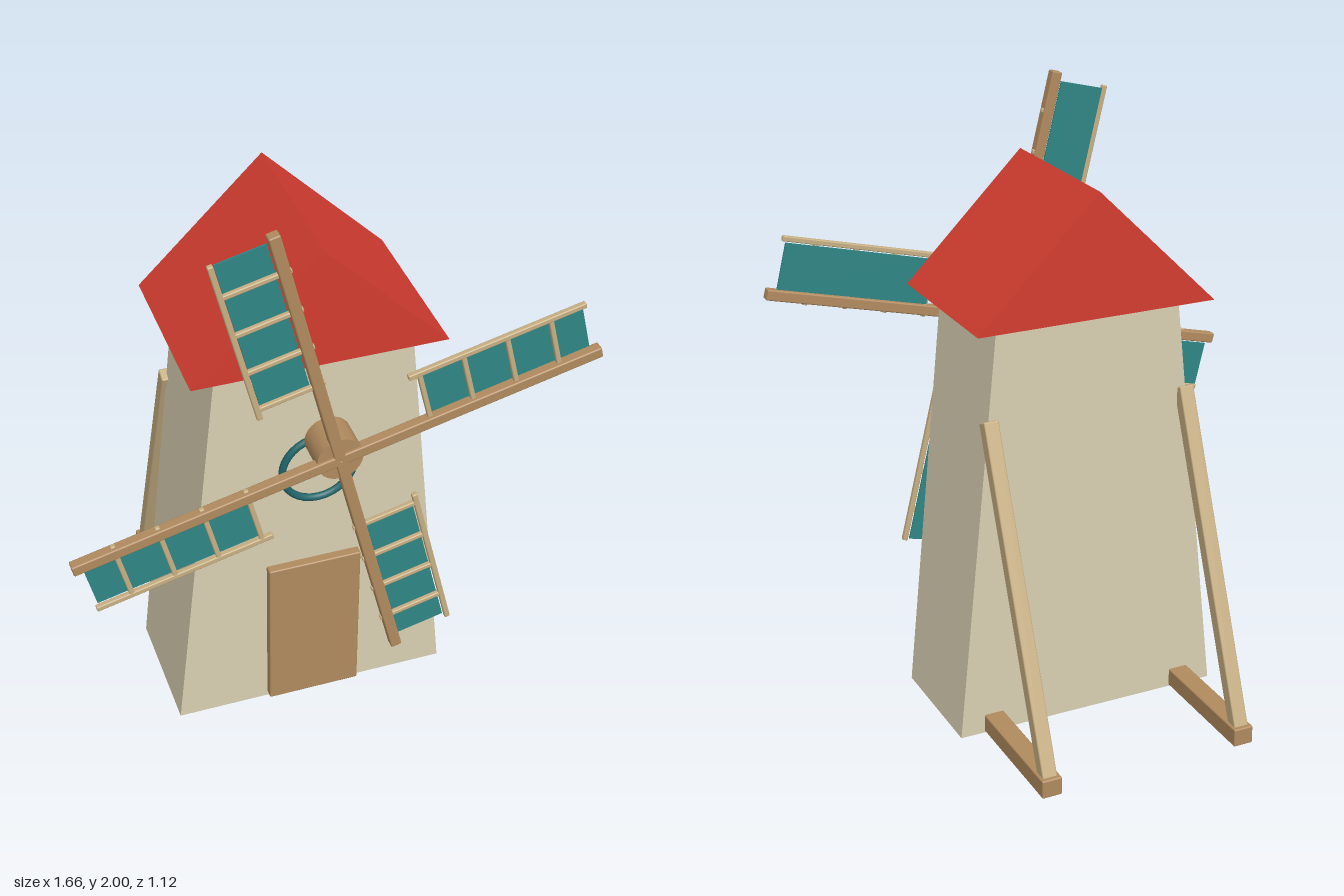
import * as THREE from 'three';
import { RoundedBoxGeometry } from 'three/addons/geometries/RoundedBoxGeometry.js';

const mat = (color, extra = {}) => new THREE.MeshStandardMaterial({ color, ...extra });

export function createModel() {
  const model = new THREE.Group();
  const plaster = mat(0xd8ceb2, { flatShading: true });
  const red = mat(0xd23c30, { flatShading: true });
  const wood = mat(0xb08a5e);
  const paleWood = mat(0xc6ae82);
  const teal = mat(0x2f8585);
  const darkTeal = mat(0x1f6468);

  const add = (parent, name, geometry, material, x = 0, y = 0, z = 0) => {
    const mesh = new THREE.Mesh(geometry, material);
    mesh.name = name;
    mesh.position.set(x, y, z);
    parent.add(mesh);
    return mesh;
  };
  // Beam with slightly softened edges
  const beam = (w, h, d, r = 0.005) => new RoundedBoxGeometry(w, h, d, 2, r);
  // Outline in x/y extruded from z0 to z1
  const prism = (points, z0, z1) => {
    const shape = new THREE.Shape(points.map(([x, y]) => new THREE.Vector2(x, y)));
    return new THREE.ExtrudeGeometry(shape, { depth: z1 - z0, bevelEnabled: false }).translate(0, 0, z0);
  };

  // Tapered tower and gabled roof
  add(model, 'tower', prism([[-0.46, 0], [0.46, 0], [0.313, 1.4], [-0.313, 1.4]], -0.12, 0.317), plaster);
  add(model, 'roof', prism([[-0.404, 1.4], [0.404, 1.4], [0, 1.8]], -0.19, 0.38), red);

  // Door and round window frame
  add(model, 'door', beam(0.31, 0.57, 0.04), wood, 0, 0.3, 0.327);
  add(model, 'windowRing', new THREE.TorusGeometry(0.118, 0.012, 10, 32), darkTeal, 0, 0.993, 0.36);

  // Rear feet with sloping struts
  const low = new THREE.Vector2(-0.528, 0.05), high = new THREE.Vector2(-0.12, 1.085);
  const span = high.clone().sub(low);
  for (const side of [-1, 1]) {
    add(model, 'foot', beam(0.068, 0.062, 0.56), wood, side * 0.342, 0.034, -0.282);
    const strut = add(model, 'strut', beam(0.05, span.length() + 0.02, 0.045), paleWood,
      side * 0.342, (low.y + high.y) / 2, (low.x + high.x) / 2);
    strut.rotation.x = Math.atan2(span.x, span.y);
  }

  // Rotor: hub and four ladder sails
  const rotor = new THREE.Group();
  rotor.name = 'rotor';
  rotor.position.set(0, 1.173, 0.543);
  rotor.rotation.z = THREE.MathUtils.degToRad(14);
  model.add(rotor);
  add(rotor, 'hub', new THREE.CylinderGeometry(0.073, 0.073, 0.115, 24).rotateX(Math.PI / 2), wood, 0, 0, -0.05);

  for (let i = 0; i < 4; i++) {
    const blade = new THREE.Group();
    blade.name = 'blade';
    blade.rotation.z = i * Math.PI / 2;
    rotor.add(blade);
    add(blade, 'spar', beam(0.85, 0.036, 0.035), wood, 0.425, 0, 0);
    add(blade, 'rail', beam(0.57, 0.018, 0.018, 0.004), paleWood, 0.545, 0.188, -0.002);
    add(blade, 'sail', new THREE.BoxGeometry(0.525, 0.155, 0.006), teal, 0.558, 0.099, -0.012);
    for (let k = 0; k < 4; k++) {
      add(blade, 'rung', beam(0.016, 0.215, 0.016, 0.004), paleWood, 0.295 + k * 0.14, 0.084, -0.002);
    }
  }
  return model;
}
